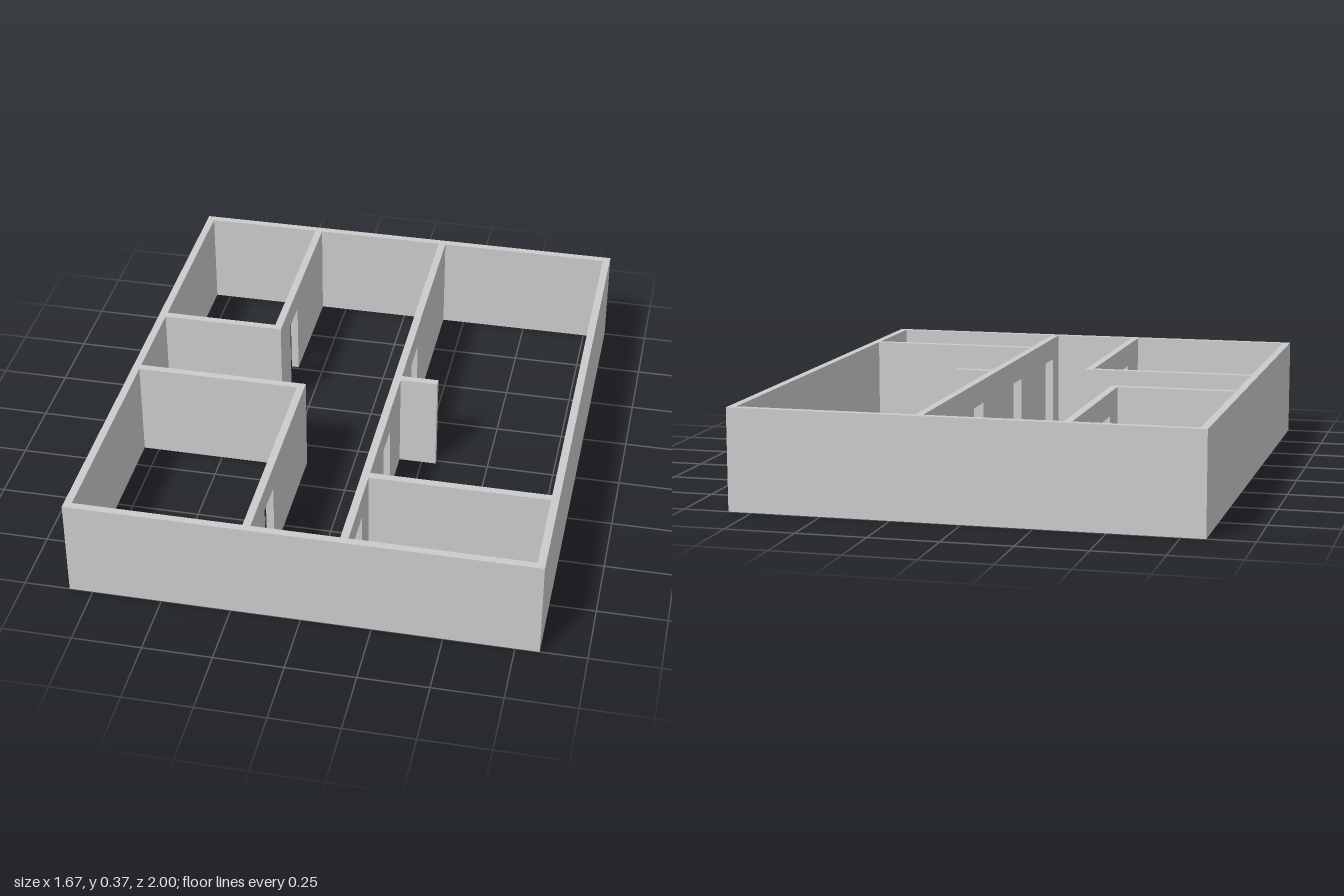
import * as THREE from 'three';

const H = 0.366;      // wall height
const T = 0.028;      // wall thickness
const DOOR_H = 0.28;
const HX = 0.835, HZ = 1;           // half size of the house
const IX = HX - T, IZ = HZ - T;     // inner faces of the outer walls

export function createModel() {
  const house = new THREE.Group();
  house.name = 'floorPlan';
  const material = new THREE.MeshStandardMaterial({ color: 0xcccccc, flatShading: true });

  const add = (name, geometry) => {
    const mesh = new THREE.Mesh(geometry, material);
    mesh.name = name;
    house.add(mesh);
    return mesh;
  };

  // Wall along x from x0 to x1, centred on z
  const wallX = (name, z, x0, x1) =>
    add(name, new THREE.BoxGeometry(x1 - x0, H, T)).position.set((x0 + x1) / 2, H / 2, z);

  // Wall along z from z0 to z1, centred on x, with doorways [start, end] in rising z
  const wallZ = (name, x, z0, z1, doors) => {
    const outline = [[z0, 0]];
    for (const [a, b] of doors) outline.push([a, 0], [a, DOOR_H], [b, DOOR_H], [b, 0]);
    outline.push([z1, 0], [z1, H], [z0, H]);
    const shape = new THREE.Shape(outline.map(([z, y]) => new THREE.Vector2(-z, y)));
    const geometry = new THREE.ExtrudeGeometry(shape, { depth: T, bevelEnabled: false });
    geometry.translate(0, 0, -T / 2).rotateY(Math.PI / 2);
    add(name, geometry).position.x = x;
  };

  // Outer walls: one rectangular ring
  const rect = (x, z) => [[-x, -z], [x, -z], [x, z], [-x, z]].map(p => new THREE.Vector2(...p));
  const ring = new THREE.Shape(rect(HX, HZ));
  ring.holes.push(new THREE.Path(rect(IX, IZ)));
  add('outerWalls', new THREE.ExtrudeGeometry(ring, { depth: H, bevelEnabled: false }).rotateX(-Math.PI / 2));

  // Long wall between the hall and the left-hand rooms, with three doorways
  const hallX = 0.151;
  wallZ('hallWall', hallX, -IZ, IZ, [[-0.345, -0.215], [0.22, 0.35], [0.745, 0.875]]);

  // Back corner room
  wallZ('backRoomSideWall', -0.363, -IZ, -0.226, [[-0.51, -0.382]]);
  wallX('backRoomEndWall', -0.24, -IX, -0.363 - T / 2);

  // Front corner room
  wallZ('frontRoomSideWall', -0.189, 0.112, IZ, [[0.645, 0.775]]);
  wallX('frontRoomEndWall', 0.126, -IX, -0.189 - T / 2);

  // Cross wall and short divider on the left side of the house
  wallX('crossWall', 0.613, hallX + T / 2, IX);
  wallX('shortDivider', 0.004, hallX + T / 2, 0.303);

  return house;
}
